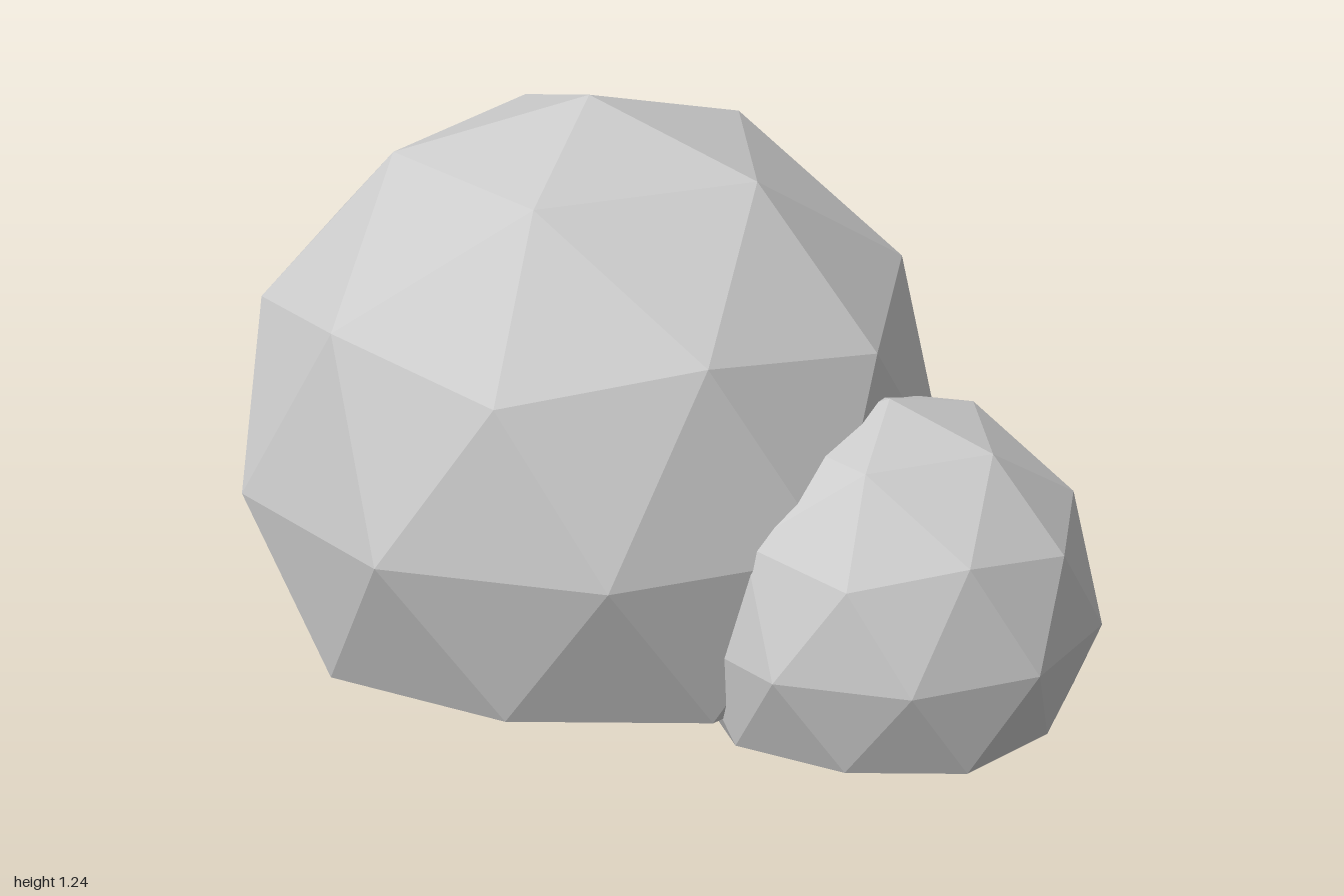
import * as THREE from 'three';

const material = new THREE.MeshStandardMaterial({ color: 0xcccccc, flatShading: true });

// Faceted boulder: a once-divided icosahedron standing on a vertex,
// with everything below its lower ring pressed flat into a base.
function boulder(name, radius, x, y) {
  const geometry = new THREE.IcosahedronGeometry(radius, 1);
  geometry.rotateZ(-Math.atan(2 / (1 + Math.sqrt(5))));
  const base = -radius / Math.sqrt(5);
  const pos = geometry.attributes.position;
  for (let i = 0; i < pos.count; i++) pos.setY(i, Math.max(pos.getY(i), base));
  geometry.computeVertexNormals();
  const mesh = new THREE.Mesh(geometry, material);
  mesh.name = name;
  mesh.position.set(x, y, 0);
  return mesh;
}

export function createModel() {
  const group = new THREE.Group();
  group.name = 'boulders';
  group.add(boulder('largeBoulder', 0.82, -0.22, 0.42));
  group.add(boulder('smallBoulder', 0.477, 0.546, 0.2133));
  return group;
}
